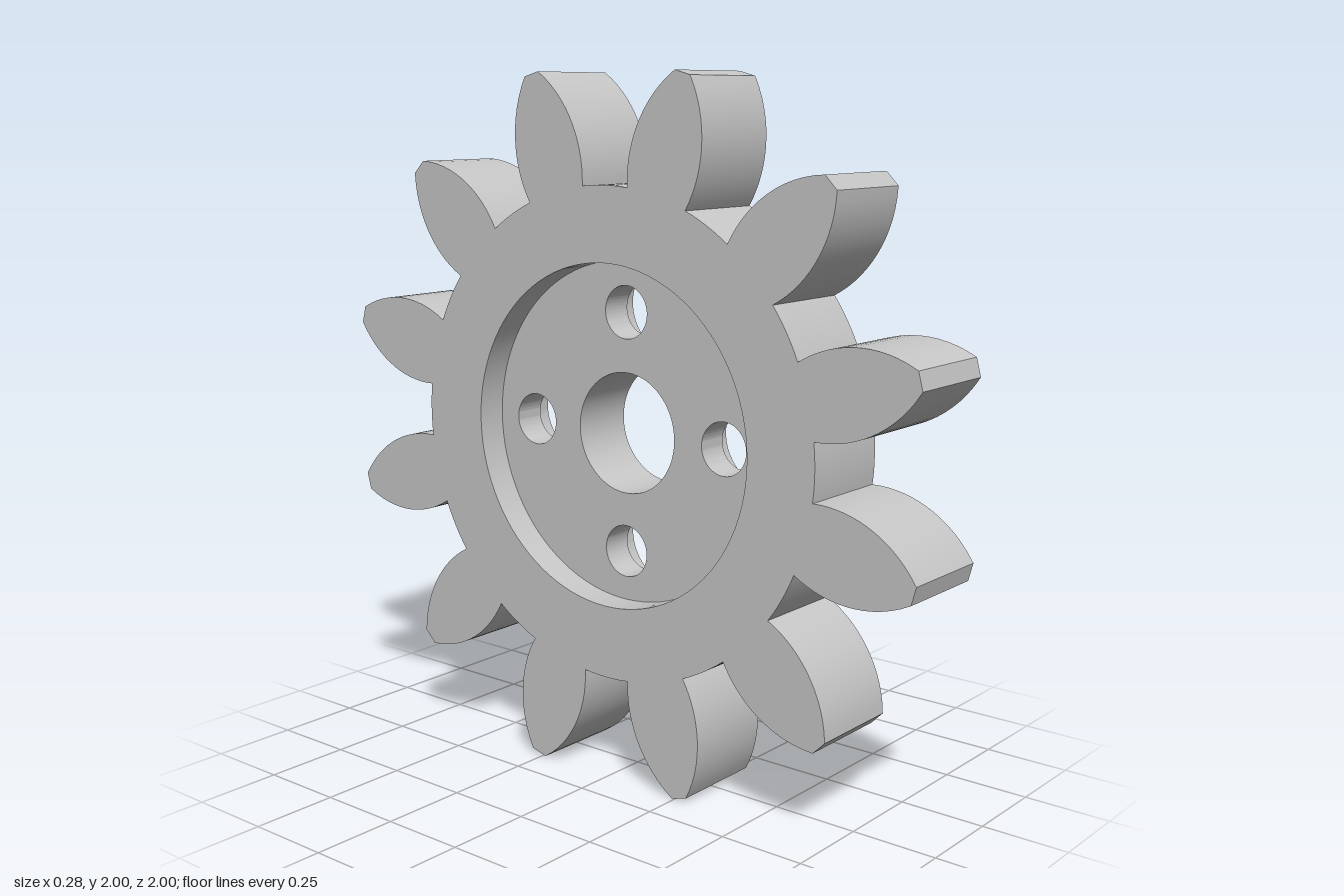
import * as THREE from 'three';
import { toCreasedNormals } from 'three/addons/utils/BufferGeometryUtils.js';

const HALF = 0.142;            // half thickness of the wheel
const RECESS_FLOOR = -0.052;   // floor of the round pocket on the -x side
const BORE_FLOOR = 0.042;      // floor of the counterbores on the +x side
const ROOT = 0.697, RECESS = 0.486, CENTRE = 0.173, BIG = 0.137, SMALL = 0.075;
const BOLTS = [0, 1, 2, 3].map(i => {
  const a = i * Math.PI / 2;
  return [0.343 * Math.cos(a), 0.343 * Math.sin(a)];
});

const circle = (r, x = 0, y = 0) => new THREE.Shape().absarc(x, y, r, 0, Math.PI * 2, false);

// Twelve bellied teeth joined by arcs of the root circle
function gearOutline() {
  const pts = [], steps = 14, rootSteps = 6, base = 0.689, tip = 1.0275;
  const halfWidth = u => 0.118 - (0.347 - Math.sqrt(0.347 ** 2 - (u - 0.792) ** 2));
  const baseAngle = Math.atan2(halfWidth(base), base);
  for (let t = 0; t < 12; t++) {
    const a = (t + 0.5) * Math.PI / 6, c = Math.cos(a), s = Math.sin(a);
    const add = (u, v) => pts.push(new THREE.Vector2(u * c - v * s, u * s + v * c));
    const at = i => base + (tip - base) * i / steps;
    for (let i = 0; i <= steps; i++) add(at(i), -halfWidth(at(i)));
    for (let i = steps; i >= 0; i--) add(at(i), halfWidth(at(i)));
    const gap = Math.PI / 6 - 2 * baseAngle;
    for (let i = 1; i < rootSteps; i++) {
      const b = a + baseAngle + gap * i / rootSteps;
      pts.push(new THREE.Vector2(ROOT * Math.cos(b), ROOT * Math.sin(b)));
    }
  }
  return new THREE.Shape(pts);
}

// Only the side wall of an extruded outline; inward walls line holes
function wallGeometry(shape, z0, z1, inward) {
  const full = new THREE.ExtrudeGeometry(shape, { depth: z1 - z0, bevelEnabled: false, curveSegments: 48 });
  const { start, count } = full.groups[1];
  const geo = new THREE.BufferGeometry();
  const p = full.attributes.position.array.slice(start * 3, (start + count) * 3);
  geo.setAttribute('position', new THREE.BufferAttribute(p, 3));
  if (inward) geo.scale(1, 1, -1).translate(0, 0, z1);
  else geo.translate(0, 0, z0);
  return toCreasedNormals(geo, 0.5);
}

// Flat face with holes, looking along +z or -z
function faceGeometry(shape, holes, z, backward) {
  shape.holes = holes;
  const geo = new THREE.ShapeGeometry(shape, 48);
  if (backward) geo.rotateY(Math.PI);
  return geo.translate(0, 0, z);
}

export function createModel() {
  const metal = new THREE.MeshStandardMaterial({ color: 0xc6c6c6 });
  metal.name = 'grey metal';
  const wheel = new THREE.Group();
  wheel.name = 'gearWheel';
  const add = (name, geo) => {
    const mesh = new THREE.Mesh(geo, metal);
    mesh.name = name;
    wheel.add(mesh);
  };
  const boltHoles = r => BOLTS.map(([x, y]) => circle(r, x, y));

  // Toothed rim and its two outer faces
  add('toothedRim', wallGeometry(gearOutline(), -HALF, HALF, false));
  add('boredFace', faceGeometry(gearOutline(), [circle(CENTRE), ...boltHoles(BIG)], HALF, false));
  add('recessedFace', faceGeometry(gearOutline(), [circle(RECESS)], -HALF, true));

  // Round pocket
  add('recessWall', wallGeometry(circle(RECESS), -HALF, RECESS_FLOOR, true));
  add('recessFloor', faceGeometry(circle(RECESS), [circle(CENTRE), ...boltHoles(SMALL)], RECESS_FLOOR, true));

  // Shaft hole
  add('shaftHole', wallGeometry(circle(CENTRE), RECESS_FLOOR, HALF, true));

  // Four counterbored bolt holes
  for (const [x, y] of BOLTS) {
    add('counterboreWall', wallGeometry(circle(BIG, x, y), BORE_FLOOR, HALF, true));
    add('counterboreFloor', faceGeometry(circle(BIG, x, y), [circle(SMALL, x, y)], BORE_FLOOR, false));
    add('boltHole', wallGeometry(circle(SMALL, x, y), RECESS_FLOOR, BORE_FLOOR, true));
  }

  // Turn the axle onto x and stand the wheel on the ground
  wheel.rotation.y = Math.PI / 2;
  wheel.position.y = 1;
  const model = new THREE.Group();
  model.name = 'gear';
  model.add(wheel);
  return model;
}
